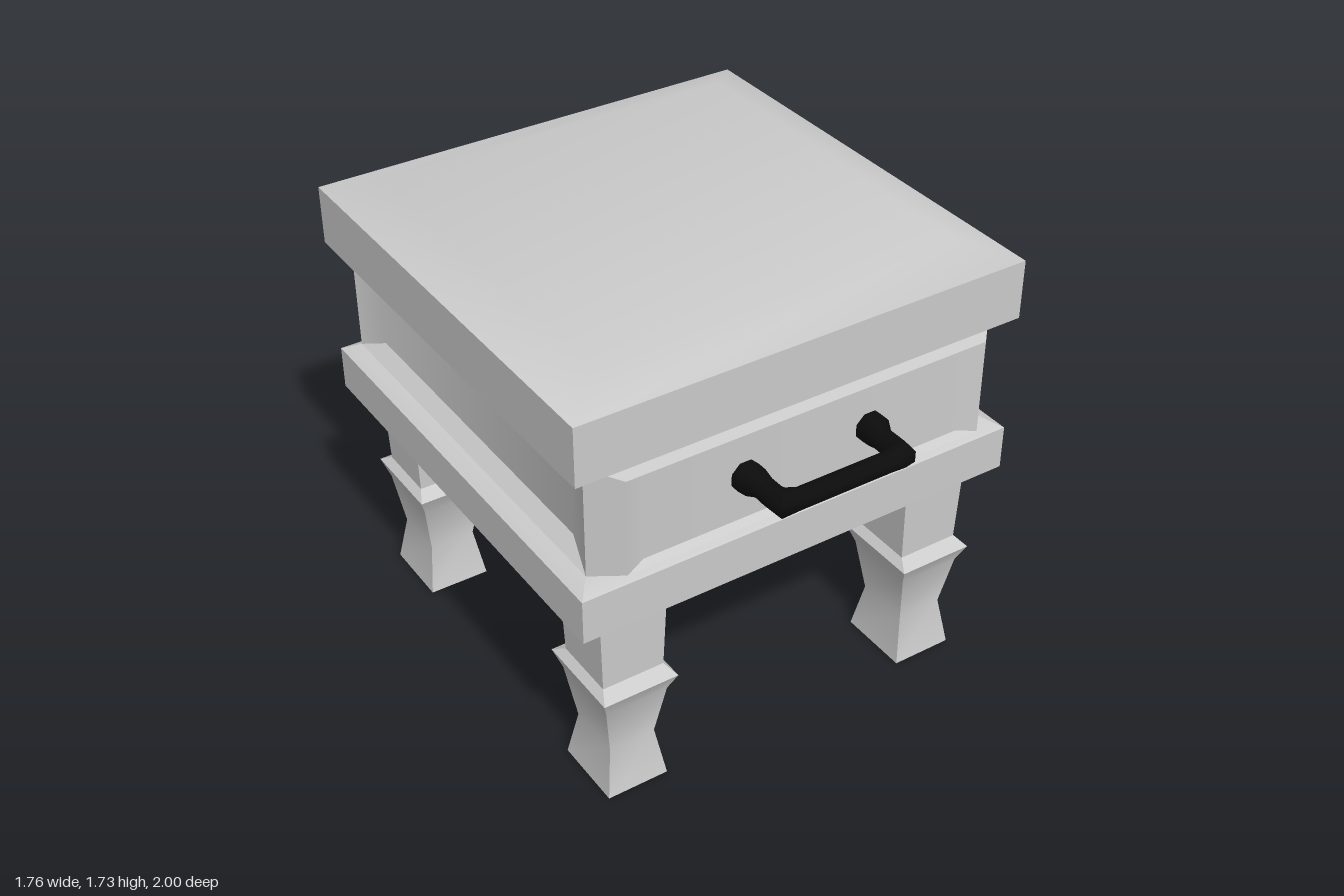
import * as THREE from 'three';
import { toCreasedNormals } from 'three/addons/utils/BufferGeometryUtils.js';

// Skin a list of equal-sized point rings, with optional end caps
function loft(rings, { crease = 0.5, capStart = true, capEnd = true } = {}) {
  const n = rings[0].length;
  const index = [];
  for (let r = 0; r < rings.length - 1; r++) {
    for (let i = 0; i < n; i++) {
      const j = (i + 1) % n;
      const a = r * n + i, b = r * n + j, c = a + n, d = b + n;
      index.push(a, b, d, a, d, c);
    }
  }
  const last = (rings.length - 1) * n;
  for (let i = 1; i < n - 1; i++) {
    if (capStart) index.push(0, i + 1, i);
    if (capEnd) index.push(last, last + i, last + i + 1);
  }
  const geo = new THREE.BufferGeometry();
  geo.setAttribute('position', new THREE.Float32BufferAttribute(rings.flat(2), 3));
  geo.setIndex(index);
  return toCreasedNormals(geo, crease);
}

// Horizontal rectangle at height y
const level = (y, x, back, front) =>
  [[-x, y, front], [x, y, front], [x, y, back], [-x, y, back]];

// Upright rectangle at depth z
const upright = (z, x0, x1, y0, y1) =>
  [[x0, y0, z], [x1, y0, z], [x1, y1, z], [x0, y1, z]];

export function createModel() {
  const model = new THREE.Group();
  const grey = new THREE.MeshStandardMaterial({ color: 0xcccccc });
  const black = new THREE.MeshStandardMaterial({ color: 0x0c0c0c });

  const add = (name, geometry, material = grey) => {
    const mesh = new THREE.Mesh(geometry, material);
    mesh.name = name;
    model.add(mesh);
    return mesh;
  };

  // Top with a shallow bevel
  add('tabletop', loft([
    level(1.445, 0.88, -1, 0.765),
    level(1.67, 0.88, -1, 0.765),
    level(1.73, 0.71, -0.82, 0.59),
  ]));

  // Base slab, slightly sloped above and below
  add('baseSlab', loft([
    level(0.775, 0.52, -0.64, 0.43),
    level(0.82, 0.87, -0.99, 0.765),
    level(0.99, 0.87, -0.99, 0.765),
    level(1.02, 0.81, -0.93, 0.69),
  ]));

  // Recessed panels on the sides and back of the cabinet
  const panel = (name, turn, depth, outer, inner) => {
    const geo = loft([
      upright(depth, ...outer, 1.02, 1.445),
      upright(depth - 0.05, ...inner, 1.065, 1.4),
    ], { capStart: false });
    add(name, geo).rotation.y = turn;
  };
  panel('leftPanel', Math.PI / 2, 0.81, [-0.69, 0.93], [-0.53, 0.82]);
  panel('rightPanel', -Math.PI / 2, 0.81, [-0.93, 0.69], [-0.82, 0.53]);
  panel('backPanel', Math.PI, 0.93, [-0.81, 0.81], [-0.66, 0.66]);

  // Drawer front: raised frame around a shallow recess
  add('drawerFront', loft([
    upright(0.69, -0.81, 0.81, 1.02, 1.445),
    upright(0.79, -0.715, 0.715, 1.05, 1.42),
    upright(0.765, -0.64, 0.64, 1.068, 1.4),
  ], { capStart: false }));

  // Handle: x, z, heading and radius of each ring on one half
  const half = [
    [-0.25, 0.75, 0, 0.058],
    [-0.25, 0.8, 0, 0.058],
    [-0.24, 0.845, 0, 0.042],
    [-0.24, 0.91, 0, 0.043],
    [-0.235, 0.953, Math.PI / 4, 0.052],
    [-0.18, 0.96, Math.PI / 2, 0.04],
  ];
  const path = [...half,
    ...half.map(([x, z, a, r]) => [-x, z, Math.PI - a, r]).reverse()];
  const handleRings = path.map(([x, z, a, r]) =>
    Array.from({ length: 8 }, (_, i) => {
      const t = (i + 0.5) * Math.PI / 4;
      const side = r * Math.cos(t);
      return [x + side * Math.cos(a), 1.24 + r * Math.sin(t), z - side * Math.sin(a)];
    }));
  add('drawerHandle', loft(handleRings, { crease: 1 }), black);

  // Square legs: height, half width and half depth
  const legProfile = [
    [0, 0.12, 0.142],
    [0.19, 0.09, 0.106],
    [0.4, 0.122, 0.142],
    [0.47, 0.147, 0.175],
    [0.5, 0.12, 0.123],
    [0.83, 0.131, 0.132],
  ];
  const legGeo = loft(legProfile.map(([y, w, d]) => level(y, w, -d, d)));
  for (const [xName, x] of [['Left', 0.635], ['Right', -0.635]]) {
    for (const [zName, z] of [['front', 0.56], ['back', -0.765]]) {
      add(`${zName}${xName}Leg`, legGeo).position.set(x, 0, z);
    }
  }
  return model;
}
